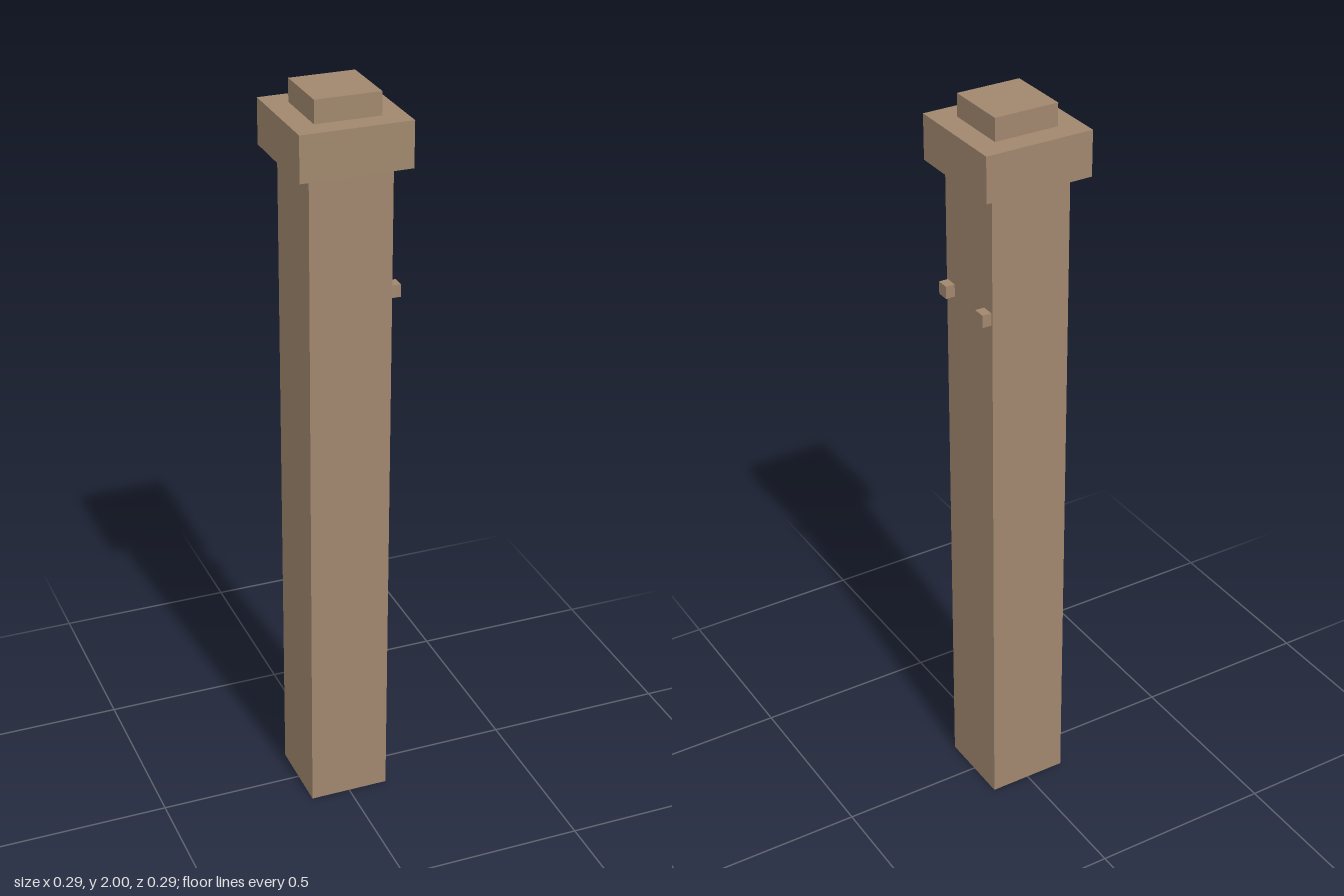
import * as THREE from 'three';

export function createModel() {
  const post = new THREE.Group();
  post.name = 'post';

  const wood = new THREE.MeshStandardMaterial({ color: 0xa0876e });
  wood.name = 'wood';

  // Box given by its size, the height of its base and its centre in x and z
  function addBox(name, width, height, depth, base, x = 0, z = 0) {
    const mesh = new THREE.Mesh(new THREE.BoxGeometry(width, height, depth), wood);
    mesh.name = name;
    mesh.position.set(x, base + height / 2, z);
    post.add(mesh);
  }

  // Square shaft with a stepped cap
  addBox('shaft', 0.218, 1.82, 0.218, 0);
  addBox('cap', 0.292, 0.12, 0.292, 1.82);
  addBox('capTop', 0.173, 0.06, 0.173, 1.94);

  // Two small pegs on the left face
  for (const [name, z] of [['frontPeg', 0.088], ['backPeg', -0.087]]) {
    addBox(name, 0.03, 0.034, 0.034, 1.471, 0.119, z);
  }

  return post;
}
